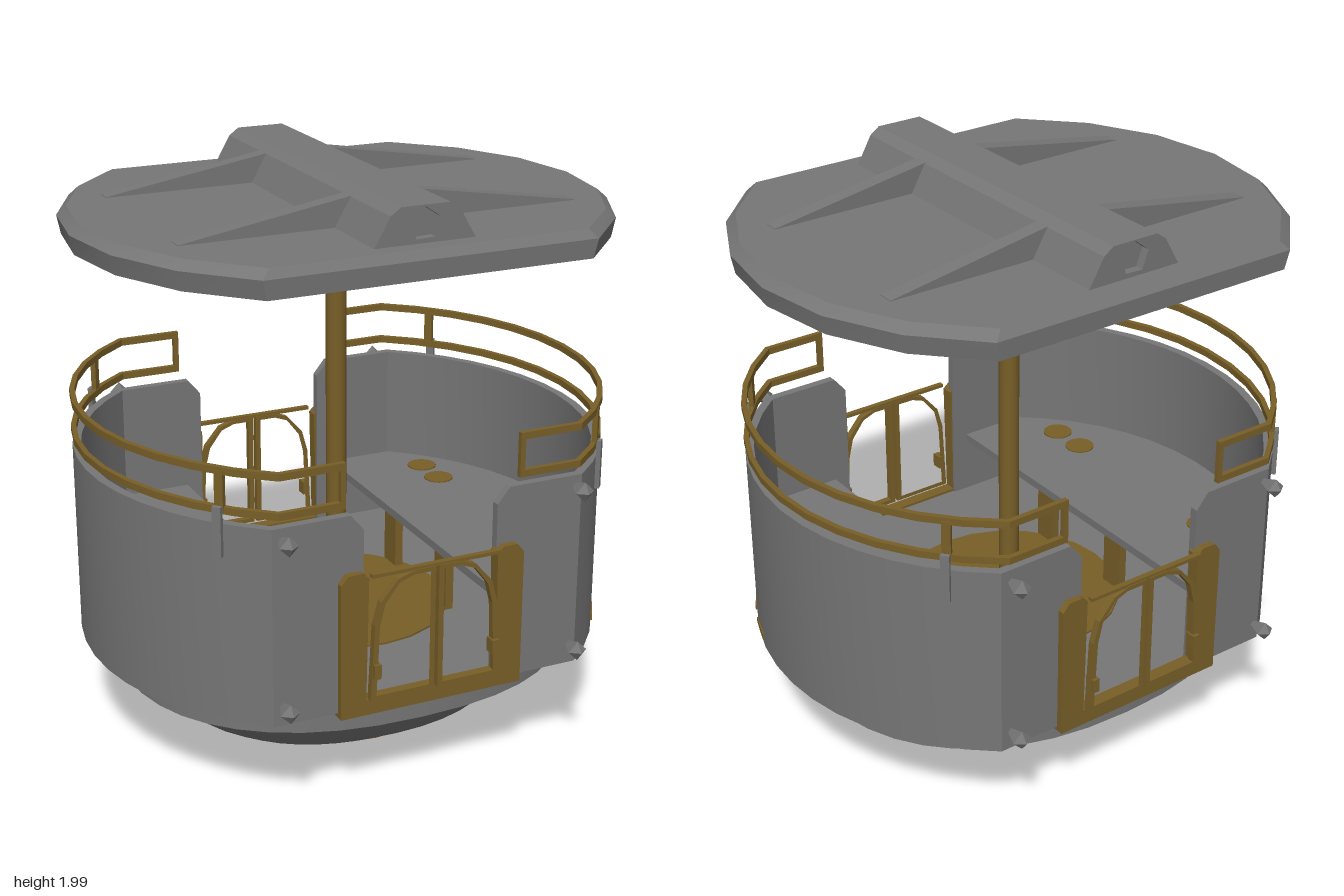
import * as THREE from 'three';
import { toCreasedNormals } from 'three/addons/utils/BufferGeometryUtils.js';

const grey = new THREE.MeshStandardMaterial({ color: 0x777676 });
grey.name = 'grey metal';
const gold = new THREE.MeshStandardMaterial({ color: 0x785f28 });
gold.name = 'old gold';

const V = (x, y, z) => new THREE.Vector3(x, y, z);

// One curved side (+x) of a circle cut flat at z = +-zc, running from -z to +z.
function sidePath(r, zc, n, flatX = []) {
  const a0 = Math.asin(zc / r), pts = flatX.map(x => [x, -zc]);
  for (let i = 0; i <= n; i++) {
    const a = -a0 + (2 * a0 * i) / n;
    pts.push([r * Math.cos(a), r * Math.sin(a)]);
  }
  return pts.concat([...flatX].reverse().map(x => [x, zc]));
}

// Closed plan outline: both curved sides joined by the flat front and back.
function outline(r, zc, n, y) {
  const p = sidePath(r, zc, n);
  return [...p, ...p.map(([x, z]) => [-x, -z])].map(([x, z]) => V(x, y, z));
}

function oval(rx, rz, y, power = 2, n = 40) {
  const bend = c => Math.sign(c) * Math.abs(c) ** (2 / power);
  return Array.from({ length: n }, (_, i) => {
    const a = (i / n) * Math.PI * 2;
    return V(rx * bend(Math.cos(a)), y, rz * bend(Math.sin(a)));
  });
}

// Skin over a list of closed rings, capped at both ends.
function loft(rings, crease = 0.5) {
  const pos = [], n = rings[0].length;
  const tri = (...p) => p.forEach(v => pos.push(v.x, v.y, v.z));
  const mid = ring => ring.reduce((s, v) => s.add(v), V(0, 0, 0)).divideScalar(n);
  const first = rings[0], last = rings[rings.length - 1], c0 = mid(first), c1 = mid(last);
  for (let j = 0; j < n; j++) {
    const k = (j + 1) % n;
    for (let i = 0; i < rings.length - 1; i++) {
      const a = rings[i], b = rings[i + 1];
      tri(a[j], b[j], a[k]);
      tri(a[k], b[j], b[k]);
    }
    tri(c0, first[j], first[k]);
    tri(c1, last[k], last[j]);
  }
  const g = new THREE.BufferGeometry();
  g.setAttribute('position', new THREE.Float32BufferAttribute(pos, 3));
  return toCreasedNormals(g, crease);
}

// Band of rectangular section following one curved side.
function band(r, zc, n, flatX, thick, low, top) {
  const outer = sidePath(r, zc, n, flatX), inner = sidePath(r - thick, zc - thick, n, flatX);
  return loft(outer.map(([x, z], i) => {
    const [u, w] = inner[i], t = typeof top === 'function' ? top(x) : top;
    return [V(x, t, z), V(x, low, z), V(u, low, w), V(u, t, w)];
  }));
}

function plate(points, depth, holes = []) {
  const shape = new THREE.Shape(points.map(p => new THREE.Vector2(...p)));
  for (const h of holes) shape.holes.push(new THREE.Path(h.map(p => new THREE.Vector2(...p))));
  return new THREE.ExtrudeGeometry(shape, { depth, bevelEnabled: false });
}

function add(parent, name, geometry, material, x = 0, y = 0, z = 0) {
  const m = new THREE.Mesh(geometry, material);
  m.name = name;
  m.position.set(x, y, z);
  parent.add(m);
  return m;
}
const box = (w, h, d) => new THREE.BoxGeometry(w, h, d);
const disc = (r, h, n = 24) => new THREE.CylinderGeometry(r, r, h, n);

function createModel() {
  const model = new THREE.Group();
  model.name = 'gondola';

  // Hull, base ring and floor
  add(model, 'hull', loft([oval(0.47, 0.35, 0.015), oval(0.59, 0.49, 0.1, 2.1),
    oval(0.7, 0.58, 0.2, 2.2), oval(0.75, 0.64, 0.265, 2.3)], 0.6), grey);
  add(model, 'baseRing', loft([oval(0.805, 0.69, 0.265, 2.3), oval(0.805, 0.69, 0.375, 2.3)]), grey);
  add(model, 'floor', loft([outline(0.9, 0.715, 12, 0.37), outline(0.9, 0.715, 12, 0.4)]), grey);
  add(model, 'bottomDisc', disc(0.34, 0.009), gold, 0, 0.0105, 0);
  add(model, 'floorDisc', disc(0.4, 0.008), gold, 0, 0.403, 0);

  // Centre post and ceiling plate
  add(model, 'post', disc(0.036, 1.44, 12), gold, 0, 1.12, 0);
  add(model, 'ceilingDisc', disc(0.19, 0.02, 12), gold, 0, 1.8, 0);

  // Roof with hollow underside
  add(model, 'roof', loft([outline(0.875, 0.69, 6, 1.84), outline(0.885, 0.7, 6, 1.785),
    outline(0.915, 0.725, 6, 1.785), outline(0.928, 0.73, 6, 1.85),
    outline(0.895, 0.71, 6, 1.88)], 0.4), grey);

  // Roof ridge with a five-sided socket at each end
  const socket = Array.from({ length: 5 }, (_, i) => {
    const a = (i / 5) * Math.PI * 2 + 0.35;
    return [0.055 * Math.cos(a), 1.94 + 0.055 * Math.sin(a)];
  });
  add(model, 'roofRidge', plate([[-0.18, 1.87], [0.18, 1.87], [0.12, 1.975], [0.085, 2],
    [-0.085, 2], [-0.12, 1.975]], 1.3, [socket]), grey, 0, 0, -0.65);
  add(model, 'ridgeCore', plate(socket, 1.24), grey, 0, 0, -0.62);

  // Roof fins and the beams below them
  for (const z of [-0.34, 0.34]) {
    for (const s of [-1, 1]) {
      add(model, 'roofFin', plate([[s * 0.1, 1.87], [s * 0.7, 1.87], [s * 0.7, 1.882],
        [s * 0.1, 1.98]], 0.055), grey, 0, 0, z - 0.0275);
    }
    add(model, 'ceilingBeam', box(1.56, 0.02, 0.04), grey, 0, 1.832, z);
  }

  // The two mirrored sides
  for (const turn of [0, Math.PI]) {
    const side = new THREE.Group();
    side.name = turn ? 'rightSide' : 'leftSide';
    side.rotation.y = turn;
    model.add(side);

    add(side, 'wall', band(0.913, 0.725, 14, [0.24, 0.285], 0.03, 0.37,
      x => (x < 0.25 ? 1.0 : 1.055)), grey);
    for (const y of [1.1, 1.23]) {
      add(side, 'rail', band(0.915, 0.742, 12, [0.31], 0.018, y - 0.012, y + 0.012), gold);
    }
    for (const s of [-1, 1]) {
      add(side, 'railEnd', box(0.018, 0.13, 0.018), gold, 0.319, 1.165, s * 0.733);
      const upright = add(side, 'railUpright', box(0.018, 0.13, 0.03), gold, 0.675, 1.165, s * 0.605);
      const bracket = add(side, 'railBracket', box(0.016, 0.17, 0.03), grey, 0.688, 1.03, s * 0.614);
      upright.rotation.y = bracket.rotation.y = -s * 0.73;
    }

    // Bench with gold legs and pads
    const seat = sidePath(0.89, 0.7, 12, [0.3]).map(([x, z]) => [x, -z]);
    const bench = plate(seat, 0.03);
    bench.rotateX(-Math.PI / 2);
    add(side, 'bench', bench, grey, 0, 0.61, 0);
    for (const z of [-0.2, 0.2]) {
      add(side, 'benchLeg', box(0.03, 0.22, 0.09), gold, 0.33, 0.505, z);
    }
    for (const z of [-0.5, -0.36, 0.36, 0.5]) {
      add(side, 'benchPad', disc(0.055, 0.006, 16), gold, 0.6, 0.642, z);
    }
  }

  // Small side markers
  for (const a of [0.3, 0.48]) {
    const m = add(model, 'sideMarker', box(0.008, 0.02, 0.11), gold,
      0.912 * Math.cos(a * 1.15), 0.405, 0.912 * Math.sin(a * 1.15));
    m.rotation.y = -a * 1.15;
  }

  // Doors and bumper studs at both ends
  for (const turn of [0, Math.PI]) {
    const end = new THREE.Group();
    end.name = turn ? 'backEnd' : 'frontEnd';
    end.rotation.y = turn;
    model.add(end);

    add(end, 'doorFrame', plate([[-0.33, 0.355], [0.33, 0.355], [0.33, 0.83], [0.305, 0.86],
      [0.255, 0.86], [0.232, 0.84], [0.24, 0.41], [-0.24, 0.41], [-0.232, 0.84],
      [-0.255, 0.86], [-0.305, 0.86], [-0.33, 0.83]], 0.045), gold, 0, 0, 0.705);
    add(end, 'doorTopBar', box(0.46, 0.012, 0.02), gold, 0, 0.853, 0.76);

    for (const s of [-1, 1]) {
      const leaf = [[0.006, 0.415], [0.235, 0.415], [0.222, 0.68], [0.2, 0.76],
        [0.14, 0.83], [0.08, 0.85], [0.006, 0.85]].map(([x, y]) => [s * x, y]);
      const opening = leaf.map(([x, y]) => [s * 0.115 + (x - s * 0.115) * 0.83, 0.635 + (y - 0.635) * 0.93]);
      add(end, 'doorLeaf', plate(leaf, 0.025, [opening]), gold, 0, 0, 0.748);
      add(end, 'doorHinge', box(0.025, 0.05, 0.04), gold, s * 0.215, 0.52, 0.765);

      for (const y of [0.445, 1.02]) {
        const stud = new THREE.CylinderGeometry(0.034, 0.012, 0.06, 4);
        stud.rotateX(Math.PI / 2);
        const g = toCreasedNormals(stud, 0.3);
        add(end, 'stud', g, grey, s * 0.525, y, 0.765);
        const tip = new THREE.ConeGeometry(0.034, 0.025, 4);
        tip.rotateX(Math.PI / 2);
        add(end, 'studTip', toCreasedNormals(tip, 0.3), grey, s * 0.525, y, 0.8075);
      }
    }
  }
  return model;
}

export { createModel };
